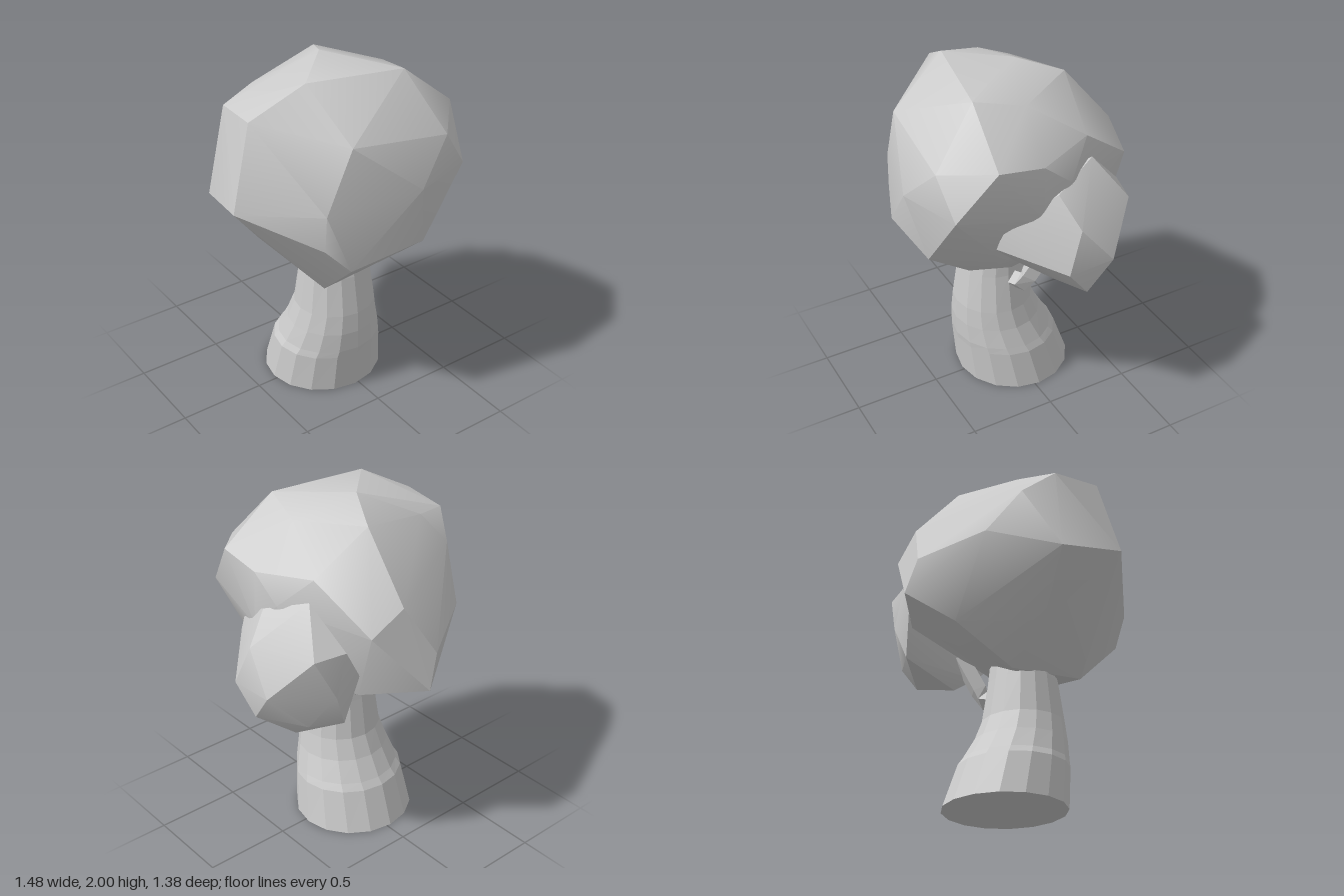
import * as THREE from 'three';
import { ConvexGeometry } from 'three/addons/geometries/ConvexGeometry.js';
import { toCreasedNormals } from 'three/addons/utils/BufferGeometryUtils.js';

const grey = new THREE.MeshStandardMaterial({ color: 0xcccccc });
const faceted = new THREE.MeshStandardMaterial({ color: 0xcccccc, flatShading: true });

function part(name, geometry, material) {
  const mesh = new THREE.Mesh(geometry, material);
  mesh.name = name;
  return mesh;
}

// Chiselled foliage: convex hull of corner points, soft across shallow edges
function foliage(name, corners) {
  const hull = new ConvexGeometry(corners.map((c) => new THREE.Vector3(...c)));
  return part(name, toCreasedNormals(hull, 0.5), grey);
}

// Leaning trunk: each ring is [y, xMin, xMax, zMin, zMax]
function trunkGeometry() {
  const rings = [
    [0, -0.375, 0.325, -0.365, 0.31],
    [0.24, -0.35, 0.29, -0.28, 0.33],
    [0.28, -0.33, 0.275, -0.25, 0.335],
    [0.4, -0.295, 0.235, -0.18, 0.338],
    [0.52, -0.265, 0.21, -0.13, 0.33],
    [0.75, -0.235, 0.175, -0.095, 0.295],
    [1.0, -0.2, 0.155, -0.06, 0.24],
  ];
  const steps = rings.length - 1;
  const geometry = new THREE.CylinderGeometry(1, 1, 1, 16, steps);
  const p = geometry.attributes.position;
  for (let i = 0; i < p.count; i++) {
    const [y, x0, x1, z0, z1] = rings[Math.round((p.getY(i) + 0.5) * steps)];
    p.setXYZ(i,
      (x0 + x1) / 2 + (p.getX(i) * (x1 - x0)) / 2, y,
      (z0 + z1) / 2 + (p.getZ(i) * (z1 - z0)) / 2);
  }
  return geometry;
}

// Square twig with one elbow
function twigGeometry() {
  const path = new THREE.CurvePath();
  const a = new THREE.Vector3(0.1, 0.68, 0.06);
  const b = new THREE.Vector3(0.25, 0.735, 0.045);
  const c = new THREE.Vector3(0.34, 1.0, -0.06);
  path.add(new THREE.LineCurve3(a, b));
  path.add(new THREE.LineCurve3(b, c));
  return new THREE.TubeGeometry(path, 6, 0.055, 4);
}

export function createModel() {
  const tree = new THREE.Group();
  tree.name = 'tree';

  tree.add(part('trunk', trunkGeometry(), faceted));
  tree.add(part('twig', twigGeometry(), faceted));

  tree.add(foliage('mainCrown', [
    // top
    [-0.03, 2.0, -0.04], [-0.31, 1.98, 0.24], [0.24, 1.96, 0.34],
    [0.31, 1.9, 0.07], [0.1, 1.92, -0.28], [-0.35, 1.84, -0.2],
    // front
    [-0.25, 1.73, 0.56], [0.33, 1.66, 0.6], [0.48, 1.44, 0.57],
    [0.11, 1.44, 0.685], [-0.4, 1.38, 0.55], [-0.41, 1.18, 0.55],
    [-0.28, 1.04, 0.6], [0.2, 1.06, 0.6],
    // right side
    [-0.61, 1.82, 0.17], [-0.74, 1.35, 0.21], [-0.58, 1.8, -0.12],
    [-0.67, 1.29, -0.16], [-0.48, 1.67, -0.28],
    // left side
    [0.55, 1.71, 0.36], [0.55, 1.67, 0.1], [0.54, 1.53, -0.07],
    [0.42, 1.7, -0.23], [0.56, 1.36, 0.1], [0.42, 1.1, -0.2], [0.4, 1.05, 0.25],
    // back
    [0.11, 1.57, -0.57], [0.31, 1.45, -0.55], [0.3, 1.07, -0.44],
    [-0.05, 1.29, -0.66], [0.02, 1.1, -0.69], [-0.39, 1.39, -0.46],
    // underside
    [-0.16, 0.93, -0.48], [-0.42, 0.96, -0.08], [-0.19, 0.75, -0.11],
    [-0.26, 0.78, 0.33], [0.12, 0.83, 0.32], [0.3, 0.91, 0.15],
  ]));

  tree.add(foliage('sideCrown', [
    // outer face
    [0.74, 1.1, 0.05], [0.735, 1.11, -0.22], [0.7, 1.33, -0.04],
    [0.6, 1.35, -0.24], [0.71, 0.93, -0.08],
    // top
    [0.56, 1.49, 0.02], [0.46, 1.59, -0.24], [0.57, 1.35, -0.41],
    [0.39, 1.36, -0.45], [0.49, 1.35, 0.28],
    // front and back
    [0.48, 1.21, 0.34], [0.4, 1.12, 0.28], [0.36, 1.02, 0.19],
    [0.46, 1.12, -0.455], [0.31, 1.2, -0.46],
    // underside
    [0.55, 0.92, -0.33], [0.38, 0.92, -0.42], [0.55, 0.83, -0.22],
    [0.4, 0.82, -0.06], [0.33, 0.89, 0.04],
    // hidden in the main crown
    [0.3, 1.4, 0.1],
  ]));

  return tree;
}
